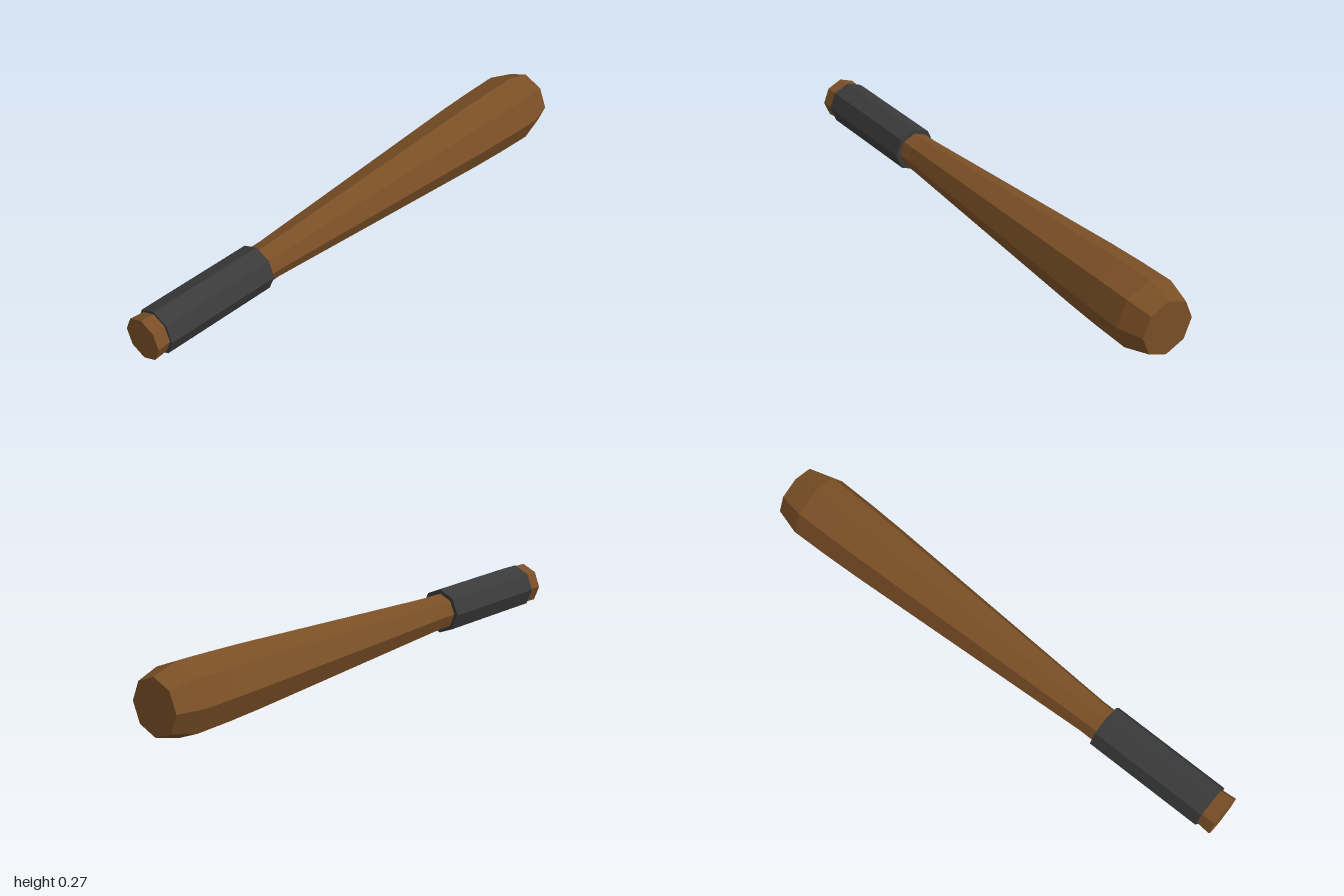
import * as THREE from 'three';

const SIDES = 8;
const AXIS_HEIGHT = 0.135;

// Faceted solid turned around the x axis from [x, radius] pairs
function turned(name, profile, color) {
  const points = profile.map(([x, r]) => new THREE.Vector2(r, x));
  const geometry = new THREE.LatheGeometry(points, SIDES);
  geometry.rotateZ(-Math.PI / 2);
  geometry.translate(0, AXIS_HEIGHT, 0);
  const material = new THREE.MeshStandardMaterial({ color, flatShading: true });
  const mesh = new THREE.Mesh(geometry, material);
  mesh.name = name;
  return mesh;
}

export function createModel() {
  const group = new THREE.Group();
  group.name = 'bat';

  // Wooden body: butt, thin handle, swelling barrel, bevelled tip
  group.add(turned('woodenBody', [
    [-1, 0], [-1, 0.081], [-0.92, 0.074], [-0.86, 0.07], [-0.41, 0.07],
    [0.6, 0.126], [0.75, 0.132], [0.9, 0.135], [1, 0.106], [1, 0],
  ], 0x7a4f26));

  // Dark wrapped grip, closed at both ends
  group.add(turned('grip', [
    [-0.945, 0.06], [-0.945, 0.086], [-0.47, 0.086], [-0.47, 0.06],
  ], 0x3a3a3a));

  return group;
}
